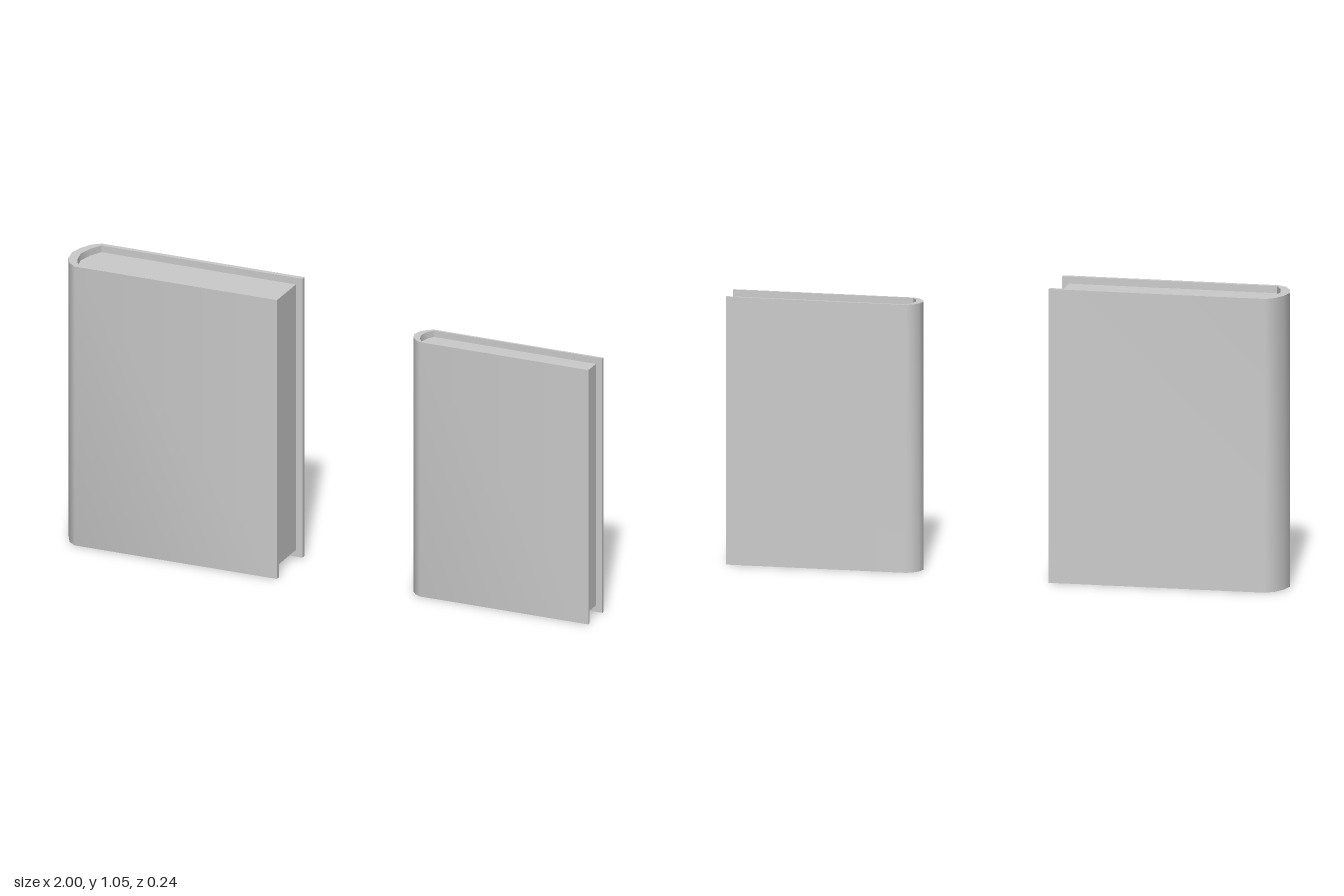
import * as THREE from 'three';
import { toCreasedNormals } from 'three/addons/utils/BufferGeometryUtils.js';

const material = new THREE.MeshStandardMaterial({ color: 0xcccccc });

// Mirrors a half outline (tip first) across z = 0, running from +z to -z.
const mirrorHalf = (half) => [
  ...half.slice(1).reverse(),
  ...half.map(([x, z]) => [x, -z]),
];

// Extrudes an [x, z] outline upwards between two heights.
function upright(outline, bottom, top, name) {
  const shape = new THREE.Shape(outline.map(([x, z]) => new THREE.Vector2(x, z)));
  const flat = new THREE.ExtrudeGeometry(shape, { depth: top - bottom, bevelEnabled: false });
  flat.rotateX(-Math.PI / 2).translate(0, bottom, 0);
  const mesh = new THREE.Mesh(toCreasedNormals(flat, 0.75), material);
  mesh.name = name;
  return mesh;
}

function book({ name, height, outer, inner, coverEnd, pageEnd, gap }) {
  const group = new THREE.Group();
  group.name = name;
  const outerHalf = [...outer, [coverEnd, outer.at(-1)[1]]];
  const innerHalf = [...inner, [coverEnd, inner.at(-1)[1]]];
  const pageHalf = [...inner, [pageEnd, inner.at(-1)[1]]];

  // One wrap-around cover: two boards joined by a rounded spine
  const coverOutline = [...mirrorHalf(outerHalf), ...mirrorHalf(innerHalf).reverse()];
  group.add(upright(coverOutline, 0, height, 'cover'));

  // Page block, set back from the cover's edges
  group.add(upright(mirrorHalf(pageHalf), gap, height - gap, 'pages'));
  return group;
}

export function createModel() {
  const model = new THREE.Group();
  model.name = 'books';
  model.add(
    book({
      name: 'thickBook', height: 1.047, coverEnd: -0.165, pageEnd: -0.19, gap: 0.025,
      outer: [[-1, 0], [-0.99, 0.05], [-0.967, 0.095], [-0.937, 0.118]],
      inner: [[-0.967, 0], [-0.955, 0.055], [-0.932, 0.1]],
    }),
    book({
      name: 'thinBook', height: 0.955, coverEnd: 1, pageEnd: 0.976, gap: 0.024,
      outer: [[0.308, 0], [0.317, 0.03], [0.336, 0.053], [0.357, 0.064]],
      inner: [[0.335, 0], [0.343, 0.032], [0.358, 0.055]],
    }),
  );
  return model;
}
